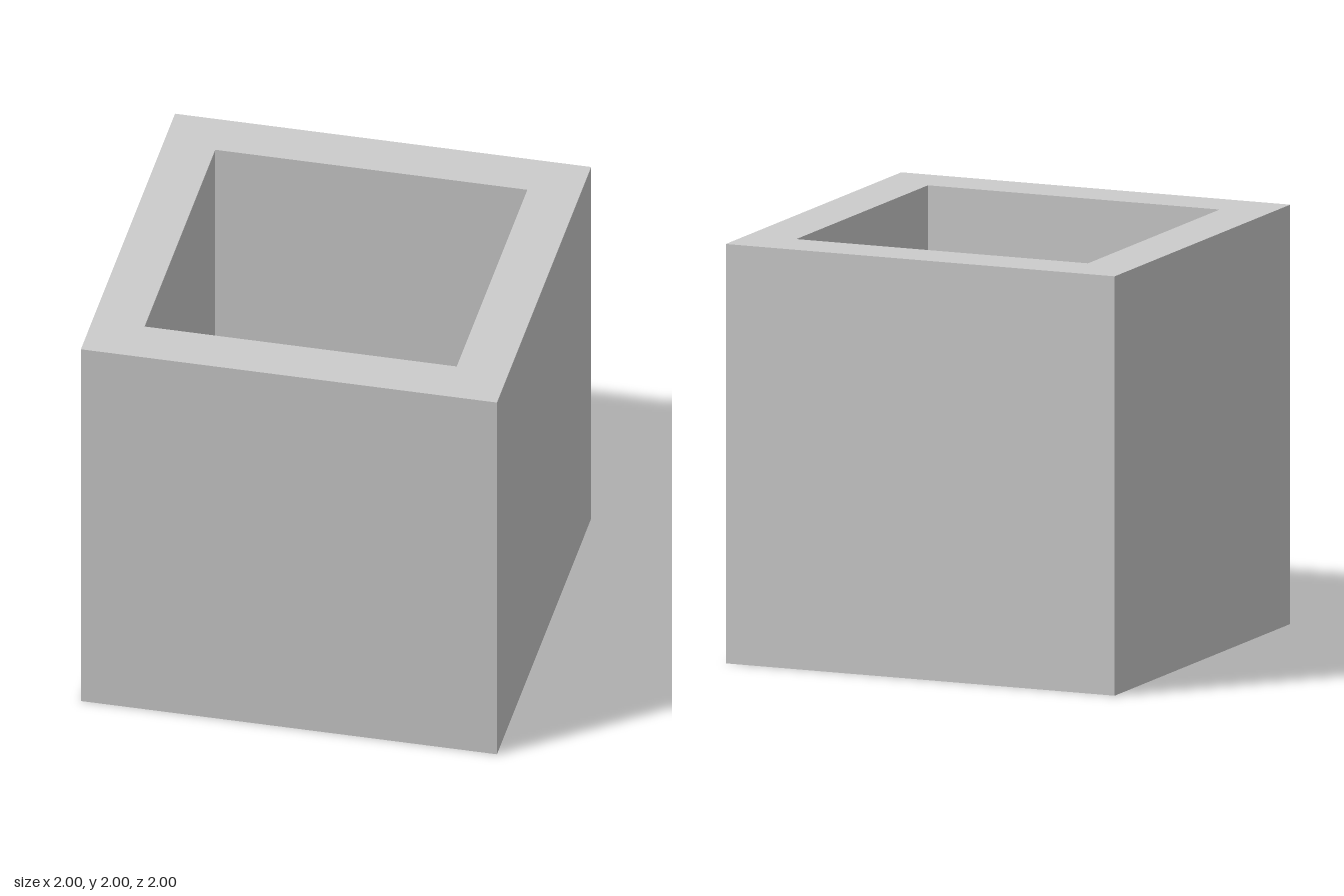
import * as THREE from 'three';

// Adds a centred square outline to a Shape or Path
function square(path, half) {
  path.moveTo(-half, -half);
  path.lineTo(half, -half);
  path.lineTo(half, half);
  path.lineTo(-half, half);
  path.closePath();
  return path;
}

export function createModel() {
  const group = new THREE.Group();
  group.name = 'squareTube';

  // Square ring section, extruded upwards into an open tube
  const section = square(new THREE.Shape(), 1);
  section.holes.push(square(new THREE.Path(), 0.75));
  const geometry = new THREE.ExtrudeGeometry(section, { depth: 2, bevelEnabled: false });
  geometry.rotateX(-Math.PI / 2);

  const walls = new THREE.Mesh(
    geometry,
    new THREE.MeshStandardMaterial({ color: 0xcccccc, flatShading: true })
  );
  walls.name = 'tubeWalls';
  group.add(walls);
  return group;
}
